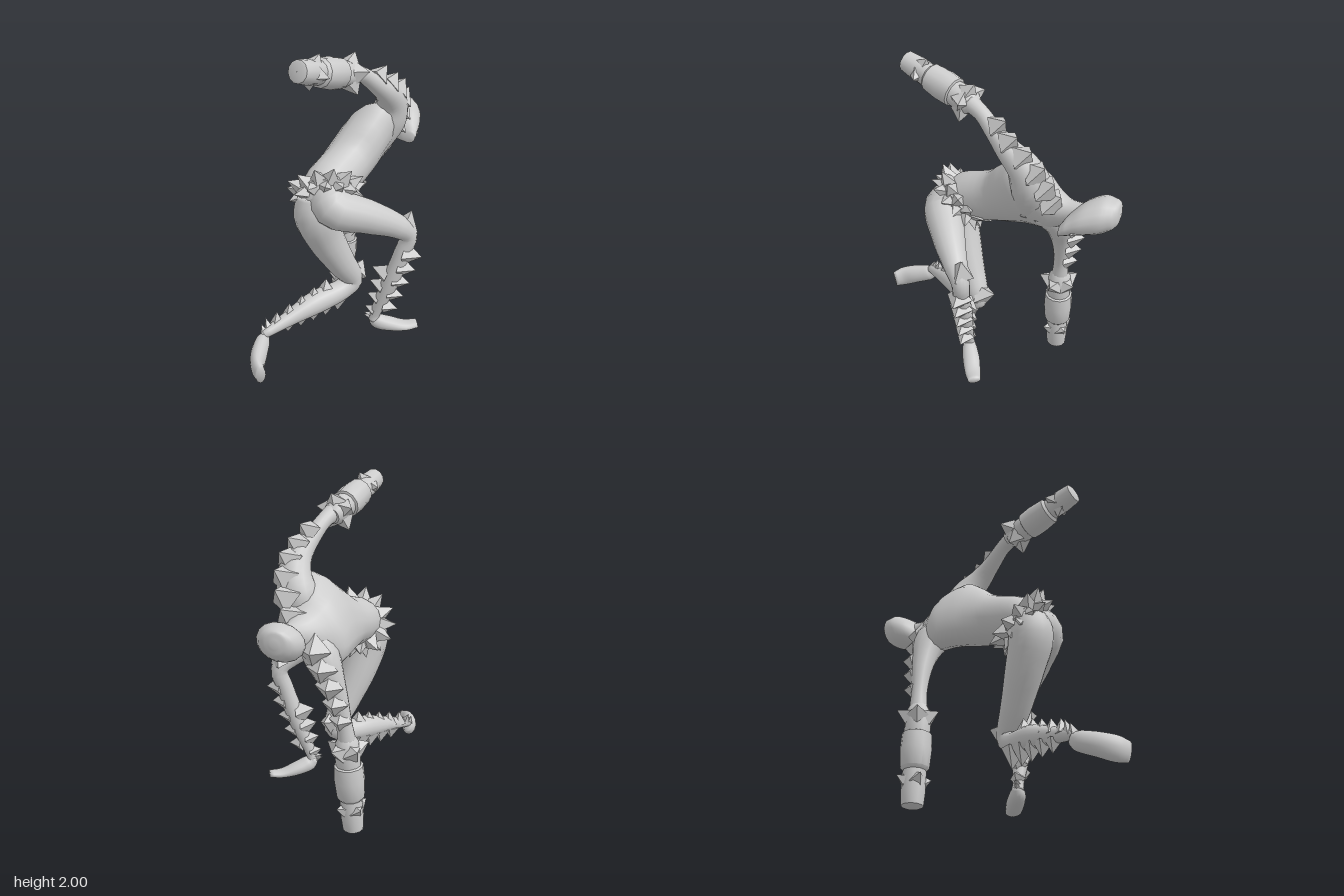
import * as THREE from 'three';
import { toCreasedNormals } from 'three/addons/utils/BufferGeometryUtils.js';

const V = (a) => new THREE.Vector3(a[0], a[1], a[2]);
const UP = new THREE.Vector3(0, 1, 0);
const smooth = new THREE.MeshStandardMaterial({ color: 0xcccccc, side: THREE.DoubleSide });
const faceted = new THREE.MeshStandardMaterial({ color: 0xcccccc, flatShading: true });

export function createModel() {
  const model = new THREE.Group();
  model.name = 'crouchingFigure';

  function add(name, geometry, material, parent = model) {
    const mesh = new THREE.Mesh(geometry, material);
    mesh.name = name;
    parent.add(mesh);
    return mesh;
  }

  // Smooth body through rows of [x, y, z, half size across, half size along hint]
  function loft(name, rows, hint, fixedAxis) {
    const path = new THREE.CatmullRomCurve3(rows.map(V));
    const sizes = new THREE.CatmullRomCurve3(
      rows.map((r) => new THREE.Vector3(r[3], r[4] ?? r[3], 0)), false, 'catmullrom', 0.4);
    const steps = (rows.length - 1) * 4, sides = 16;
    const pos = [], idx = [];
    for (let i = 0; i <= steps; i++) {
      const u = i / steps;
      const c = path.getPoint(u), s = sizes.getPoint(u);
      const t = fixedAxis ? V(fixedAxis).normalize() : path.getTangent(u);
      const b = V(hint).addScaledVector(t, -V(hint).dot(t)).normalize();
      const a = b.clone().cross(t);
      for (let j = 0; j < sides; j++) {
        const w = (j / sides) * Math.PI * 2;
        const p = c.clone().addScaledVector(a, Math.cos(w) * s.x).addScaledVector(b, Math.sin(w) * s.y);
        pos.push(p.x, p.y, p.z);
        if (i < steps) {
          const k = (j + 1) % sides, q = i * sides, n = q + sides;
          idx.push(q + j, q + k, n + k, q + j, n + k, n + j);
        }
      }
    }
    // end caps
    const first = pos.length / 3, last = steps * sides;
    pos.push(...rows[0].slice(0, 3), ...rows[rows.length - 1].slice(0, 3));
    for (let j = 0; j < sides; j++) {
      const k = (j + 1) % sides;
      idx.push(first, k, j, first + 1, last + j, last + k);
    }
    const g = new THREE.BufferGeometry();
    g.setAttribute('position', new THREE.Float32BufferAttribute(pos, 3));
    g.setIndex(idx);
    g.computeVertexNormals();
    add(name, g, smooth);
  }

  // Four-sided spike standing at p and pointing along d
  function spike(name, p, d, r, h, parent = model) {
    const g = new THREE.ConeGeometry(r, h, 4);
    g.translate(0, h / 2, 0);
    const m = add(name, g, faceted, parent);
    m.position.copy(p);
    m.quaternion.setFromUnitVectors(UP, d.clone().normalize());
  }

  // Spikes along a curve, changing from size r0, h0 to r1, h1
  function spikeRow(name, points, dir, n, r0, h0, r1, h1) {
    const group = new THREE.Group();
    group.name = name;
    const path = new THREE.CatmullRomCurve3(points.map(V));
    for (let i = 0; i < n; i++) {
      const u = i / (n - 1);
      spike('spike', path.getPointAt(u), V(dir), r0 + (r1 - r0) * u, h0 + (h1 - h0) * u, group);
    }
    model.add(group);
  }

  function spikeRing(name, parent, y, radius, n, r, h, lift, turn = 0) {
    const ring = new THREE.Group();
    ring.name = name;
    for (let i = 0; i < n; i++) {
      const w = (i / n) * Math.PI * 2 + turn, c = Math.cos(w), s = Math.sin(w);
      spike('spike', new THREE.Vector3(c * radius, y, s * radius), new THREE.Vector3(c, lift, s), r, h, ring);
    }
    parent.add(ring);
  }

  // Torso and neck
  loft('torso', [
    [-0.12, 1.05, 0.35, 0.08, 0.08], [-0.135, 1.11, 0.21, 0.14, 0.14],
    [-0.095, 1.17, 0, 0.15, 0.17], [-0.06, 1.235, -0.13, 0.155, 0.235],
    [-0.04, 1.28, -0.25, 0.155, 0.28], [-0.04, 1.25, -0.38, 0.145, 0.24],
    [0, 1.24, -0.48, 0.1, 0.13], [0.04, 1.26, -0.56, 0.068, 0.07], [0.06, 1.27, -0.66, 0.065, 0.065],
  ], [0.52, 0.86, 0.05], [0.05, 0.1, -1]);

  // Head, lying along the spine with the face to +x
  loft('head', [
    [0.165, 1.2, -0.53, 0.04, 0.035], [0.12, 1.225, -0.57, 0.09, 0.065],
    [0.07, 1.26, -0.65, 0.135, 0.1], [0.045, 1.285, -0.74, 0.135, 0.112],
    [0.04, 1.3, -0.81, 0.1, 0.088], [0.04, 1.31, -0.835, 0.065, 0.065], [0.04, 1.31, -0.845, 0.02, 0.02],
  ], [-0.15, 1, 0], [0, 0, -1]);
  spike('nose', new THREE.Vector3(0.165, 1.22, -0.62), new THREE.Vector3(1, -0.4, 0.4), 0.035, 0.05);

  // Arms
  loft('raisedArm', [
    [-0.01, 1.22, -0.28, 0.1], [0.08, 1.4, -0.32, 0.12], [0.115, 1.52, -0.29, 0.1],
    [0.115, 1.61, -0.2, 0.075], [0.08, 1.69, -0.1, 0.055], [0.035, 1.77, 0, 0.047], [0, 1.81, 0.09, 0.055],
  ], [1, 0, 0]);
  loft('loweredArm', [
    [0, 1.23, -0.36, 0.1], [-0.09, 1.11, -0.44, 0.105], [-0.17, 0.92, -0.45, 0.068],
    [-0.22, 0.72, -0.44, 0.048], [-0.24, 0.58, -0.43, 0.055],
  ], [1, 0, 0]);

  // Stepped gauntlet with a blunt hand and two rings of spikes
  function gauntlet(name, from, to) {
    const axis = V(to).sub(V(from)), len = axis.length();
    const group = new THREE.Group();
    group.name = name;
    const profile = [[0.001, 0], [0.05, 0], [0.07, 0.06], [0.078, 0.14], [0.075, 0.29], [0.088, 0.3],
      [0.092, 0.45], [0.084, 0.63], [0.068, 0.66], [0.07, 0.85], [0.063, 0.99], [0.05, 1], [0.001, 1]];
    const shell = new THREE.LatheGeometry(profile.map(([r, y]) => new THREE.Vector2(r, y * len)), 12);
    add('forearmGuard', toCreasedNormals(shell, 0.65), smooth, group);
    spikeRing('cuffSpikes', group, len * 0.13, 0.055, 5, 0.065, 0.08, -0.4);
    spikeRing('wristSpikes', group, len * 0.76, 0.045, 4, 0.05, 0.065, -0.4, 0.4);
    group.position.copy(V(from));
    group.quaternion.setFromUnitVectors(UP, axis.normalize());
    model.add(group);
  }
  gauntlet('raisedGauntlet', [0, 1.79, 0.05], [-0.135, 1.94, 0.55]);
  gauntlet('loweredGauntlet', [-0.235, 0.62, -0.43], [-0.28, 0, -0.42]);

  // Shoulder and upper arm spikes
  spikeRow('raisedArmSpikes', [[0.08, 1.32, -0.44], [0.13, 1.45, -0.4], [0.145, 1.57, -0.32], [0.125, 1.66, -0.2], [0.08, 1.73, -0.11]],
    [0.4, 0.6, -0.7], 6, 0.105, 0.11, 0.075, 0.1);
  spikeRow('loweredArmSpikes', [[-0.07, 1.17, -0.52], [-0.15, 0.97, -0.51], [-0.21, 0.74, -0.47]],
    [-0.05, 0.1, -1], 5, 0.1, 0.1, 0.07, 0.08);

  // Spiked belt around the hips
  const belt = new THREE.Group();
  belt.name = 'spikedBelt';
  belt.position.set(-0.13, 1.1, 0.19);
  belt.quaternion.setFromUnitVectors(UP, new THREE.Vector3(-0.3, 0.7, -0.65).normalize());
  const band = add('beltBand', new THREE.TorusGeometry(0.15, 0.03, 5, 18), faceted, belt);
  band.rotation.x = Math.PI / 2;
  spikeRing('beltSpikes', belt, 0.01, 0.145, 13, 0.06, 0.1, 0.35);
  spikeRing('lowerBeltSpikes', belt, -0.03, 0.14, 13, 0.055, 0.09, -0.4, 0.24);
  model.add(belt);

  // Stepping leg
  loft('steppingLeg', [
    [-0.1, 1.1, 0.24, 0.12], [-0.05, 1.05, 0.29, 0.125], [0.12, 0.97, 0.19, 0.105],
    [0.28, 0.87, 0.07, 0.075], [0.335, 0.79, 0.015, 0.056], [0.3, 0.66, 0.025, 0.053],
    [0.23, 0.44, 0.04, 0.056], [0.14, 0.2, 0.05, 0.034], [0.13, 0.15, 0.05, 0.036],
  ], [0.5, 0.2, 0.8]);
  loft('steppingFoot', [
    [0.11, 0.17, 0.05, 0.025, 0.025], [0.15, 0.135, 0.04, 0.048, 0.05], [0.22, 0.105, 0, 0.055, 0.045],
    [0.31, 0.08, -0.05, 0.05, 0.028], [0.38, 0.085, -0.09, 0.04, 0.022],
  ], [0.2, 1, 0]);

  // Kneeling leg
  loft('kneelingLeg', [
    [-0.17, 1.08, 0.24, 0.12], [-0.17, 0.97, 0.26, 0.135], [-0.14, 0.8, 0.21, 0.118],
    [-0.07, 0.58, 0.12, 0.092], [-0.02, 0.42, 0.05, 0.068], [-0.07, 0.37, 0.11, 0.068],
    [-0.18, 0.345, 0.26, 0.075], [-0.31, 0.295, 0.45, 0.046], [-0.4, 0.255, 0.58, 0.028],
  ], [0.8, 0, 0.6]);
  loft('kneelingFoot', [
    [-0.4, 0.235, 0.555, 0.025, 0.035], [-0.4, 0.215, 0.6, 0.045, 0.058], [-0.38, 0.188, 0.7, 0.05, 0.068],
    [-0.35, 0.165, 0.78, 0.04, 0.073], [-0.305, 0.155, 0.83, 0.03, 0.06],
  ], [0, 1, 0]);

  // Shin and calf spikes
  spikeRow('steppingShinSpikes', [[0.32, 0.67, 0.025], [0.2, 0.27, 0.045]],
    [1, -0.1, 0], 5, 0.085, 0.11, 0.06, 0.09);
  spikeRow('steppingCalfSpikes', [[0.215, 0.5, 0.035], [0.135, 0.22, 0.05]],
    [-0.95, 0.35, 0.05], 4, 0.08, 0.11, 0.05, 0.07);
  spikeRow('kneelingShinSpikes', [[-0.1, 0.33, 0.12], [-0.31, 0.275, 0.43]],
    [0, -1, -0.1], 5, 0.08, 0.13, 0.055, 0.08);
  spikeRow('kneelingCalfSpikes', [[-0.14, 0.37, 0.2], [-0.35, 0.285, 0.49]],
    [0, 1, -0.05], 5, 0.08, 0.115, 0.05, 0.09);

  // Knee and ankle spikes
  spike('steppingKneeSpike', new THREE.Vector3(0.315, 0.845, 0.02), new THREE.Vector3(0.3, 1, -0.15), 0.085, 0.12);
  spike('kneelingKneeSpike', new THREE.Vector3(-0.01, 0.46, 0.03), new THREE.Vector3(0.2, 0.4, -1), 0.085, 0.12);
  spikeRow('kneelingAnkleSpikes', [[-0.38, 0.27, 0.54], [-0.4, 0.26, 0.57]], [-0.4, 1, -0.2], 2, 0.035, 0.08, 0.03, 0.06);
  spikeRow('steppingAnkleSpikes', [[0.13, 0.18, 0.05], [0.13, 0.16, 0.05]], [-1, 0.3, 0.2], 2, 0.03, 0.07, 0.03, 0.07);
  return model;
}
